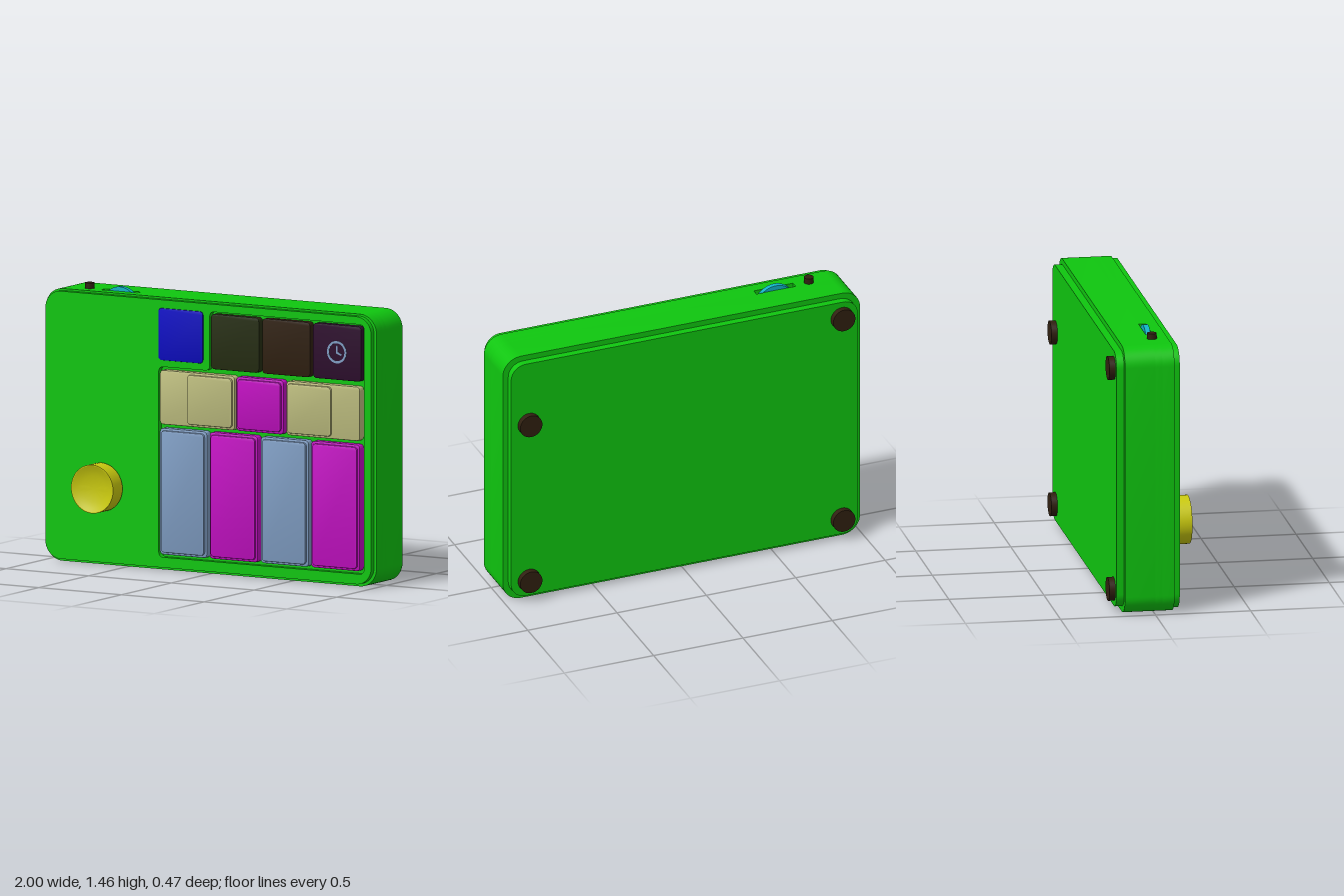
import * as THREE from 'three';
import { toCreasedNormals } from 'three/addons/utils/BufferGeometryUtils.js';

const mat = (name, color) => new THREE.MeshStandardMaterial({ name, color });

// Closed outline from [x, y, optional radius] corners, each rounded by a circular arc
function outline(points, radius, Type = THREE.Shape) {
  const shape = new Type();
  const n = points.length;
  const V = (p) => new THREE.Vector2(p[0], p[1]);
  points.forEach((p, i) => {
    const c = V(p), r = p[2] ?? radius;
    const toPrev = V(points[(i + n - 1) % n]).sub(c).normalize();
    const toNext = V(points[(i + 1) % n]).sub(c).normalize();
    const at = (dir, d) => c.clone().addScaledVector(dir, d);
    const a = at(toPrev, r), b = at(toNext, r);
    if (i === 0) shape.moveTo(a.x, a.y); else shape.lineTo(a.x, a.y);
    if (r > 0) {
      const h1 = at(toPrev, r * 0.448), h2 = at(toNext, r * 0.448);
      shape.bezierCurveTo(h1.x, h1.y, h2.x, h2.y, b.x, b.y);
    }
  });
  shape.closePath();
  return shape;
}

const rect = (x0, x1, y0, y1) => [[x0, y0], [x1, y0], [x1, y1], [x0, y1]];

// Slab filling a shape between two depths, with an optional bevel
function slab(shape, z0, z1, bevel = 0) {
  const g = new THREE.ExtrudeGeometry(shape, {
    depth: z1 - z0 - 2 * bevel, curveSegments: 10, bevelEnabled: bevel > 0,
    bevelSize: bevel, bevelThickness: bevel, bevelOffset: -bevel, bevelSegments: 2,
  });
  g.translate(0, 0, z0 + bevel);
  return toCreasedNormals(g, 0.6);
}

export function createModel() {
  const model = new THREE.Group();
  model.name = 'controlBox';
  const green = mat('caseGreen', 0x0fc60f);
  const blue = mat('screenBlue', 0x0c0cc4);
  const olive = mat('darkOlive', 0x262e12);
  const brown = mat('darkBrown', 0x302010);
  const purple = mat('darkPurple', 0x2e0e2e);
  const cream = mat('cream', 0xbfbf80);
  const magenta = mat('magenta', 0xc40fc4);
  const steel = mat('steelBlue', 0x809ec4);
  const yellow = mat('yellow', 0xcaca0f);
  const cyan = mat('cyan', 0x0fb4c6);

  function add(name, geometry, material, parent = model) {
    const m = new THREE.Mesh(geometry, material);
    m.name = name;
    parent.add(m);
    return m;
  }

  // Case: three layers, the middle one notched for the thumb wheel
  const H = 1.425;
  const caseShape = outline(rect(-1, 1, 0, H), 0.1);
  const notched = outline([
    [-1, 0], [1, 0], [1, H], [-0.485, H, 0], [-0.485, H - 0.1, 0],
    [-0.705, H - 0.1, 0], [-0.705, H, 0], [-1, H],
  ], 0.1);
  add('caseBack', slab(caseShape, -0.16, 0), green);
  add('caseMiddle', slab(notched, 0, 0.037), green);
  add('caseFront', slab(caseShape, 0.037, 0.1), green);
  add('backPlate', slab(outline(rect(-0.97, 0.97, 0.03, H - 0.03), 0.08), -0.2, -0.16), green);

  // Front plate with an L-shaped opening around the keys
  const plate = outline(rect(-0.985, 0.985, 0.014, H - 0.01), 0.09);
  plate.holes.push(outline([
    [-0.3, 0.068], [0.942, 0.068], [0.942, 1.375], [0.008, 1.375],
    [0.008, 1.065], [-0.3, 1.065],
  ], 0.025, THREE.Path));
  add('frontPlate', slab(plate, 0.1, 0.13), green);

  // Screen
  add('screen', slab(outline(rect(-0.3, -0.03, 1.1, 1.372), 0.02), 0.128, 0.136, 0.003), blue);

  // Keys: wide base with a raised cap
  function key(name, x0, x1, y0, y1, material, cap = [x0 + 0.012, x1 - 0.012]) {
    const g = new THREE.Group();
    g.name = name;
    add('keyBase', slab(outline(rect(x0, x1, y0, y1), 0.02), 0.1, 0.144, 0.005), material, g);
    add('keyCap', slab(outline(rect(cap[0], cap[1], y0 + 0.012, y1 - 0.012), 0.02), 0.14, 0.157, 0.006), material, g);
    model.add(g);
  }
  [[-0.285, 0], [0.015, 0.308], [0.325, 0.615], [0.63, 0.925]].forEach(([a, b], i) =>
    key('tallKey' + (i + 1), a, b, 0.085, 0.747, i % 2 ? magenta : steel));
  key('wideKeyRight', -0.285, 0.168, 0.766, 1.05, cream, [-0.115, 0.156]);
  key('squareKey', 0.177, 0.463, 0.766, 1.05, magenta);
  key('wideKeyLeft', 0.48, 0.925, 0.766, 1.05, cream, [0.49, 0.756]);

  // Dark display keys
  [[0.022, 0.313, olive], [0.332, 0.622, brown], [0.64, 0.932, purple]].forEach(([a, b, m], i) =>
    add('displayKey' + (i + 1), slab(outline(rect(a, b, 1.077, 1.365), 0.02), 0.1, 0.142, 0.004), m));

  // Clock symbol
  const clock = new THREE.Group();
  clock.name = 'clockSymbol';
  clock.position.set(0.785, 1.222, 0);
  const ring = new THREE.Shape().absarc(0, 0, 0.059, 0, Math.PI * 2);
  ring.holes.push(new THREE.Path().absarc(0, 0, 0.047, 0, Math.PI * 2));
  add('clockRing', slab(ring, 0.141, 0.144), steel, clock);
  add('clockHands', slab(outline([
    [-0.005, -0.006], [0.026, -0.018], [0.03, -0.009], [0.005, 0.002], [0.005, 0.034], [-0.005, 0.034],
  ], 0), 0.141, 0.144), steel, clock);
  model.add(clock);

  // Joystick-like knob with a dished face
  const profile = [
    [0, 0.14], [0.127, 0.14], [0.127, 0.235], [0.122, 0.235],
    [0.1, 0.225], [0.07, 0.216], [0.035, 0.211], [0, 0.209],
  ].map(([r, z]) => new THREE.Vector2(r, z));
  const knob = toCreasedNormals(new THREE.LatheGeometry(profile, 48).rotateX(Math.PI / 2), 0.4);
  add('knob', knob, yellow).position.set(-0.64, 0.41, 0);
  add('knobShaft', new THREE.CylinderGeometry(0.042, 0.042, 0.03, 24).rotateX(Math.PI / 2), green)
    .position.set(-0.64, 0.41, 0.135);

  // Thumb wheel and small button on the top edge
  add('thumbWheel', new THREE.CylinderGeometry(0.108, 0.108, 0.027, 48).rotateX(Math.PI / 2), cyan)
    .position.set(-0.595, 1.34, 0.0185);
  add('topButton', new THREE.CylinderGeometry(0.025, 0.026, 0.05, 24), brown)
    .position.set(-0.785, 1.43, 0.018);

  // Feet on the back
  [[0.87, 0.12], [0.87, 1.04], [-0.882, 0.12], [-0.882, 1.303]].forEach(([x, y], i) =>
    add('foot' + (i + 1), new THREE.CylinderGeometry(0.062, 0.062, 0.035, 32).rotateX(Math.PI / 2), brown)
      .position.set(x, y, -0.2145));

  return model;
}
